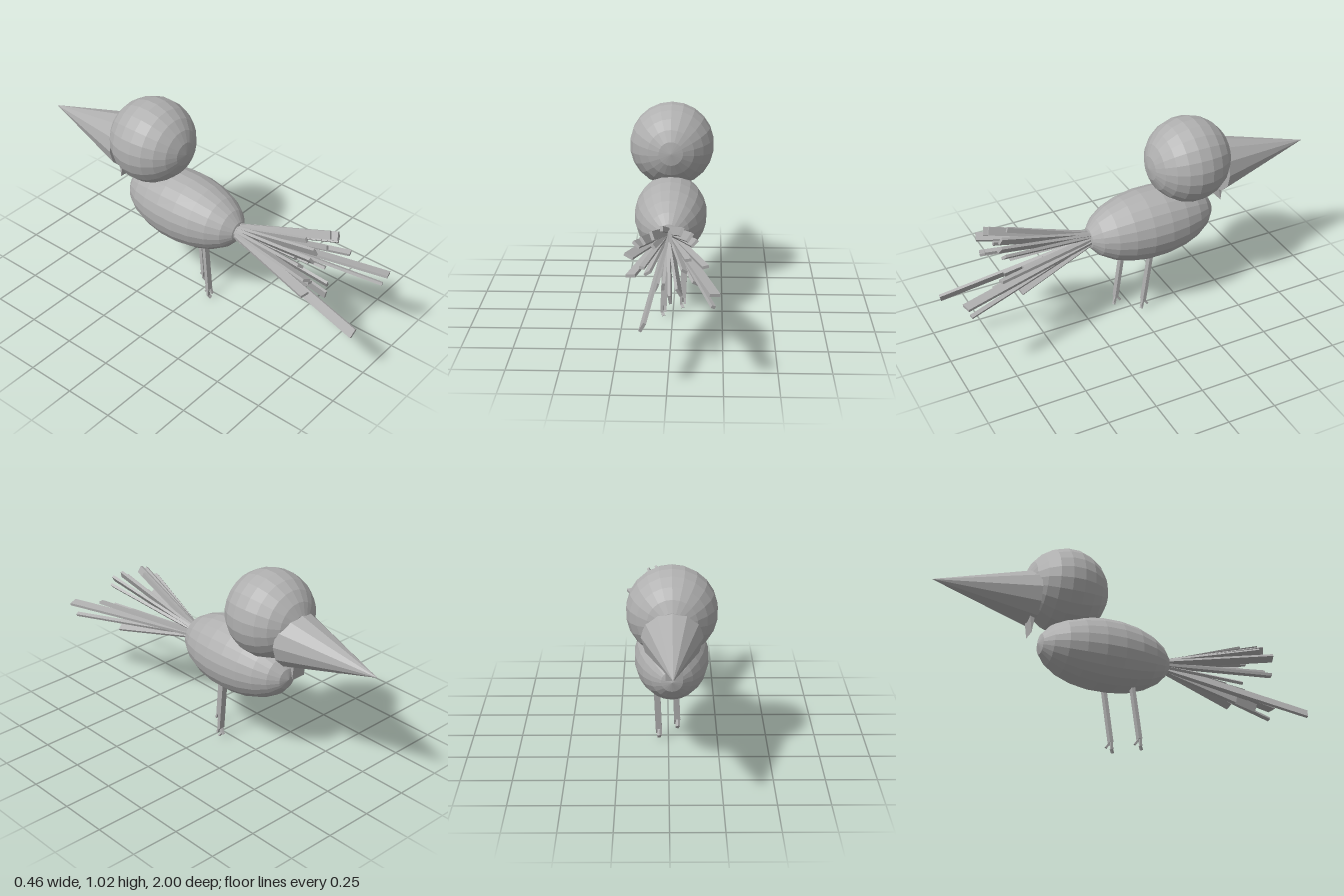
import * as THREE from 'three';

const CX = -0.015; // the head, body and beak share this axis

export function createModel() {
  const model = new THREE.Group();
  const grey = new THREE.MeshStandardMaterial({ color: 0xb0b0b0, flatShading: true });
  grey.name = 'plain grey';

  function add(name, geometry, parent = model) {
    const mesh = new THREE.Mesh(geometry, grey);
    mesh.name = name;
    parent.add(mesh);
    return mesh;
  }

  // Faceted ball with its poles along z
  function ball(name, r, rz, y, z) {
    const g = new THREE.SphereGeometry(1, 22, 11, Math.PI / 2);
    g.rotateX(Math.PI / 2).scale(r, r, rz);
    add(name, g).position.set(CX, y, z);
  }

  // Box running from a to b; its thin axis is square to both the run and ref
  function bar(name, a, b, width, thick, ref, parent) {
    const p = new THREE.Vector3(...a), q = new THREE.Vector3(...b);
    const d = q.clone().sub(p);
    const length = d.length();
    d.normalize();
    const t = new THREE.Vector3(...ref).cross(d).normalize();
    const w = d.clone().cross(t);
    const m = add(name, new THREE.BoxGeometry(width, length, thick), parent);
    m.quaternion.setFromRotationMatrix(new THREE.Matrix4().makeBasis(w, d, t));
    m.position.copy(p.add(q).multiplyScalar(0.5));
  }

  ball('head', 0.218, 0.218, 0.802, -0.32);
  ball('body', 0.184, 0.35, 0.49, -0.106);

  // Beak, pointing to -z
  const beak = new THREE.ConeGeometry(0.145, 0.515, 12);
  beak.rotateX(-Math.PI / 2);
  add('beak', beak).position.set(CX, 0.73, -0.7425);

  // Small wedge hanging under the beak
  const wedge = new THREE.Shape();
  wedge.moveTo(0.48, 0.67);
  wedge.lineTo(0.505, 0.52);
  wedge.lineTo(0.515, 0.61);
  wedge.lineTo(0.51, 0.67);
  const chin = new THREE.ExtrudeGeometry(wedge, { depth: 0.08, bevelEnabled: false });
  chin.translate(0, 0, -0.04).rotateY(Math.PI / 2);
  add('chinFlap', chin).position.x = CX - 0.01;

  // Legs, one a step ahead of the other, each with three toes
  for (const [side, topX, topZ] of [['right', -0.035, 0.038], ['left', 0.06, -0.074]]) {
    const leg = new THREE.Group();
    leg.name = side + 'Leg';
    model.add(leg);
    const X = [1, 0, 0];
    const ax = topX - 0.011, az = topZ + 0.032;
    bar('shank', [topX, 0.35, topZ - 0.003], [ax, 0.06, az], 0.032, 0.018, X, leg);
    bar('frontToe', [ax, 0.065, az], [ax + 0.003, 0.03, az - 0.024], 0.012, 0.01, X, leg);
    bar('middleToe', [ax - 0.009, 0.07, az], [ax - 0.008, 0.022, az + 0.002], 0.014, 0.01, X, leg);
    bar('middleToeTip', [ax - 0.008, 0.026, az], [ax + 0.001, 0.007, az + 0.011], 0.016, 0.009, X, leg);
    bar('backToe', [ax + 0.009, 0.07, az], [ax + 0.009, 0.03, az + 0.014], 0.013, 0.01, X, leg);
  }

  // Tail feathers: tip x, y, z and width; blades stand edge-on around the axis
  const tail = new THREE.Group();
  tail.name = 'tail';
  model.add(tail);
  const feathers = [
    [0.23, 0.46, 0.965, 0.048], [0.21, 0.395, 0.94, 0.02], [-0.116, 0.3, 0.99, 0.05],
    [-0.195, 0.573, 0.76, 0.045], [0.18, 0.523, 0.77, 0.03], [-0.19, 0.465, 0.75, 0.045],
    [-0.16, 0.61, 0.7, 0.04], [-0.125, 0.645, 0.74, 0.04], [-0.08, 0.668, 0.73, 0.04],
    [-0.035, 0.67, 0.65, 0.025], [0.01, 0.643, 0.74, 0.02], [0.065, 0.685, 0.72, 0.04],
    [0.108, 0.665, 0.74, 0.045], [0.13, 0.63, 0.73, 0.04], [0.14, 0.39, 0.66, 0.04],
    [0.057, 0.365, 0.73, 0.045], [0.01, 0.335, 0.75, 0.045], [-0.03, 0.35, 0.62, 0.04],
    [-0.065, 0.365, 0.67, 0.045], [-0.113, 0.424, 0.62, 0.035], [-0.13, 0.505, 0.74, 0.025],
    [0.1, 0.5, 0.62, 0.03], [0.08, 0.43, 0.6, 0.03], [-0.08, 0.57, 0.62, 0.025],
  ];
  for (const [x, y, z, w] of feathers) {
    const dx = x - CX, dy = y - 0.49;
    const k = 1 - w * 0.45 / Math.hypot(dx, dy); // keep the outer corner at the tip
    bar('tailFeather', [CX, 0.49, 0.17], [CX + dx * k, 0.49 + dy * k, z], w, 0.014, [0, 0, 1], tail);
  }

  return model;
}
